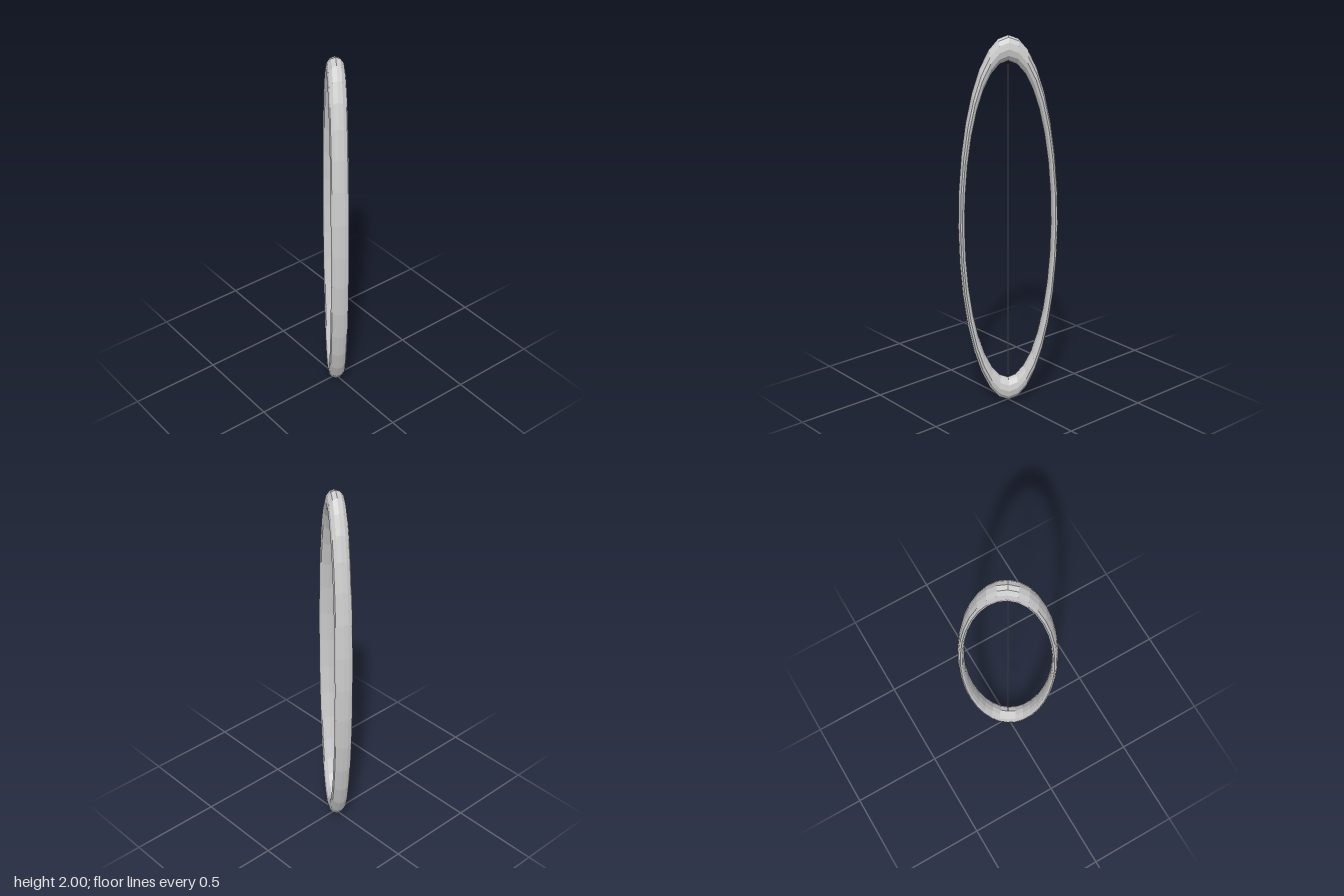
import * as THREE from 'three';

export function createModel() {
  const group = new THREE.Group();
  const material = new THREE.MeshStandardMaterial({ color: 0xcccccc, flatShading: true });

  // Tall narrow hoop: a torus squeezed in width and depth, turned about the vertical
  const hoopGeometry = new THREE.TorusGeometry(0.934, 0.066, 12, 32);
  hoopGeometry.scale(0.262, 1, 0.7);
  const hoop = new THREE.Mesh(hoopGeometry, material);
  hoop.name = 'hoop';
  hoop.position.y = 1;
  hoop.rotation.y = THREE.MathUtils.degToRad(-33);
  group.add(hoop);

  // Fine upright wire through the middle of the opening
  const wire = new THREE.Mesh(new THREE.CylinderGeometry(0.003, 0.003, 1.7, 8), material);
  wire.name = 'centreWire';
  wire.position.y = 1;
  group.add(wire);

  return group;
}
